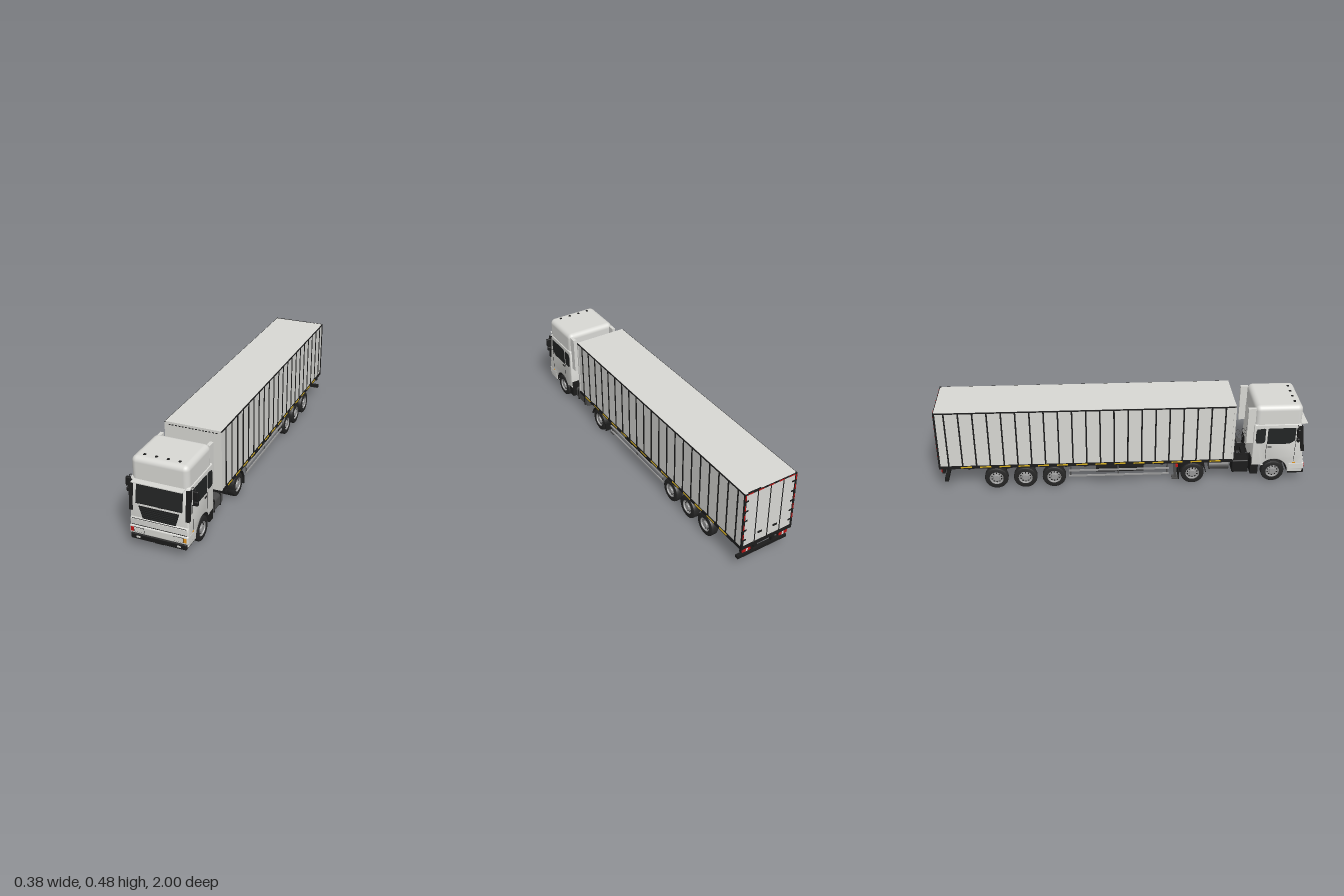
import * as THREE from 'three';
import { RoundedBoxGeometry } from 'three/addons/geometries/RoundedBoxGeometry.js';
import { toCreasedNormals } from 'three/addons/utils/BufferGeometryUtils.js';

const paint = (name, color) => Object.assign(new THREE.MeshStandardMaterial({ color }), { name });

export function createModel() {
  const truck = new THREE.Group();
  truck.name = 'semiTruck';
  const white = paint('offWhite', 0xd8d8d4), black = paint('blackPlastic', 0x1c1c1c);
  const glass = paint('darkGlass', 0x222424), tyreMat = paint('rubber', 0x262626);
  const steel = paint('darkSteel', 0x4c4c4c), rimMat = paint('rimGrey', 0x9a9a9a);
  const red = paint('red', 0xc01414), orange = paint('orange', 0xe8961c), yellow = paint('yellow', 0xd8b020);

  const group = (name, parent = truck) => {
    const g = new THREE.Group();
    g.name = name;
    parent.add(g);
    return g;
  };
  const cab = group('cab'), chassis = group('tractorChassis'), trailer = group('trailer');
  const add = (parent, name, geo, mat, x = 0, y = 0, z = 0) => {
    const m = new THREE.Mesh(geo, mat);
    m.name = name;
    m.position.set(x, y, z);
    parent.add(m);
    return m;
  };
  // box given by its x, y and z ranges
  const box = (parent, name, mat, x0, x1, y0, y1, z0, z1, r = 0) => {
    const s = [x1 - x0, y1 - y0, z1 - z0];
    const geo = r ? new RoundedBoxGeometry(...s, 3, r) : new THREE.BoxGeometry(...s);
    return add(parent, name, geo, mat, (x0 + x1) / 2, (y0 + y1) / 2, (z0 + z1) / 2);
  };
  // the same box on both sides
  const boxes = (parent, name, mat, x0, x1, ...rest) => {
    box(parent, name + 'Left', mat, x0, x1, ...rest);
    box(parent, name + 'Right', mat, -x1, -x0, ...rest);
  };
  const poly = pts => new THREE.Shape(pts.map(p => new THREE.Vector2(...p)));
  // outline in (z, y), extruded across x
  const side = (parent, name, mat, shape, x, width, bevel = 0) => {
    let geo = new THREE.ExtrudeGeometry(shape, {
      depth: width - 2 * bevel, bevelEnabled: bevel > 0, bevelSize: bevel, bevelThickness: bevel,
      bevelOffset: -bevel, bevelSegments: 3, curveSegments: 20,
    });
    geo.translate(0, 0, bevel - width / 2).rotateY(-Math.PI / 2);
    return add(parent, name, toCreasedNormals(geo, 0.6), mat, x);
  };
  const sides = (parent, name, mat, shape, x, width) => {
    side(parent, name + 'Left', mat, shape, x, width);
    side(parent, name + 'Right', mat, shape, -x, width);
  };
  const arch = (z, r, t, a0, a1) => {
    const s = new THREE.Shape();
    s.absarc(z, 0.064, r, a0, a1, false);
    s.absarc(z, 0.064, r - t, a1, a0, true);
    return s;
  };

  // Cab shell with wheel arch, raised roof
  const shell = poly([[0.988, 0.06], [0.988, 0.15], [0.981, 0.16], [0.981, 0.235], [0.961, 0.355],
    [0.955, 0.362], [0.708, 0.362], [0.704, 0.355], [0.704, 0.11], [0.76, 0.11]]);
  shell.absarc(0.825, 0.064, 0.08, 2.53, 0, true);
  shell.lineTo(0.905, 0.06);
  side(cab, 'cabShell', white, shell, 0, 0.304, 0.006);
  box(cab, 'cabRoof', white, -0.147, 0.147, 0.27, 0.47, 0.706, 0.963, 0.028);
  side(cab, 'wheelArchLiner', black, arch(0.825, 0.081, 0.003, 0, 2.5), 0, 0.296);
  box(cab, 'engineBlock', black, -0.07, 0.07, 0.07, 0.15, 0.72, 0.93);
  boxes(cab, 'rearMudguard', black, 0.08, 0.147, 0.05, 0.15, 0.7, 0.742);
  boxes(cab, 'rearFairing', white, 0.122, 0.14, 0.245, 0.455, 0.668, 0.71);

  // Bumpers, lights and front panels
  box(cab, 'bumper', white, -0.153, 0.153, 0.075, 0.12, 0.905, 0.996, 0.008);
  box(cab, 'bumperSeam', black, -0.145, 0.145, 0.119, 0.122, 0.95, 0.99);
  box(cab, 'hoodSeam', black, -0.142, 0.142, 0.152, 0.154, 0.95, 0.987);
  box(cab, 'lowerBumper', black, -0.145, 0.145, 0.047, 0.077, 0.91, 1, 0.006);
  box(cab, 'lowerLip', black, -0.022, 0.022, 0.04, 0.05, 0.93, 0.99);
  boxes(cab, 'headlightFrame', black, 0.075, 0.129, 0.086, 0.112, 0.99, 0.9968);
  boxes(cab, 'headlight', white, 0.077, 0.127, 0.088, 0.11, 0.99, 0.9985);
  boxes(cab, 'fogLight', white, 0.096, 0.116, 0.057, 0.067, 0.995, 1.0005);
  box(cab, 'indicatorLeft', orange, 0.13, 0.145, 0.088, 0.11, 0.99, 0.9985);
  box(cab, 'indicatorRight', red, -0.145, -0.13, 0.088, 0.11, 0.99, 0.9985);
  const grille = new THREE.ExtrudeGeometry(poly([[-0.085, 0.16], [0.085, 0.16], [0.105, 0.225], [-0.105, 0.225]]),
    { depth: 0.005, bevelEnabled: false });
  add(cab, 'grille', grille, black, 0, 0, 0.98);
  for (let i = 0; i < 6; i++) {
    const y = 0.167 + i * 0.01, w = 0.083 + (y - 0.16) * 0.3;
    box(cab, 'grilleSlat', glass, -w, w, y, y + 0.004, 0.984, 0.988);
  }
  const tilt = -Math.atan(1 / 6);
  add(cab, 'windshield', new THREE.BoxGeometry(0.24, 0.109, 0.006), glass, 0, 0.292, 0.9725).rotation.x = tilt;
  for (const x of [-0.07, 0.05]) {
    add(cab, 'wiper', new THREE.BoxGeometry(0.1, 0.003, 0.004), black, x, 0.242, 0.984).rotation.z = 0.05;
  }
  box(cab, 'sunVisor', white, -0.132, 0.132, 0.353, 0.357, 0.95, 0.998);
  box(cab, 'visorShadowGap', black, -0.12, 0.12, 0.348, 0.352, 0.95, 0.97);
  for (const x of [-0.09, -0.03, 0.03, 0.09]) box(cab, 'roofLight', black, x - 0.006, x + 0.006, 0.466, 0.473, 0.917, 0.929);

  // Windows, doors, pillar deflectors and mirrors
  sides(cab, 'doorWindow', glass, poly([[0.78, 0.243], [0.9, 0.243], [0.932, 0.262], [0.932, 0.34], [0.785, 0.34], [0.78, 0.335]]), 0.152, 0.004);
  sides(cab, 'sleeperWindow', glass, poly([[0.722, 0.25], [0.76, 0.25], [0.768, 0.26], [0.768, 0.335], [0.76, 0.34], [0.722, 0.335], [0.716, 0.32], [0.716, 0.265]]), 0.152, 0.004);
  sides(cab, 'pillarDeflector', black, poly([[0.968, 0.195], [0.986, 0.195], [0.968, 0.35], [0.945, 0.35]]), 0.147, 0.02);
  boxes(cab, 'doorSeamRear', black, 0.151, 0.1528, 0.15, 0.243, 0.776, 0.778);
  boxes(cab, 'doorSeamFront', black, 0.151, 0.1528, 0.13, 0.26, 0.935, 0.937);
  boxes(cab, 'doorHandle', black, 0.151, 0.156, 0.222, 0.228, 0.785, 0.805);
  boxes(cab, 'sideMarker', orange, 0.151, 0.1535, 0.118, 0.124, 0.93, 0.945);
  boxes(cab, 'mainMirror', black, 0.158, 0.188, 0.296, 0.345, 0.934, 0.95, 0.005);
  boxes(cab, 'wideMirror', black, 0.163, 0.185, 0.267, 0.29, 0.934, 0.95, 0.005);
  for (const s of [1, -1]) {
    const pts = [[0.15, 0.355], [0.162, 0.36], [0.173, 0.345], [0.173, 0.268], [0.15, 0.262]];
    const path = new THREE.CatmullRomCurve3(pts.map(([x, y]) => new THREE.Vector3(s * x, y, 0.94)), false, 'catmullrom', 0.1);
    add(cab, 'mirrorArm', new THREE.TubeGeometry(path, 24, 0.002, 6), black);
  }

  // Tractor frame, tanks and air line
  boxes(chassis, 'frameRail', black, 0.045, 0.06, 0.085, 0.125, 0.26, 0.93);
  for (const z of [0.28, 0.5, 0.68]) box(chassis, 'crossMember', black, -0.05, 0.05, 0.09, 0.115, z - 0.01, z + 0.01);
  box(chassis, 'couplingPlate', steel, -0.06, 0.06, 0.124, 0.136, 0.32, 0.44, 0.004);
  box(chassis, 'fuelTank', steel, 0.064, 0.135, 0.052, 0.122, 0.545, 0.69, 0.016);
  for (const z of [0.58, 0.655]) box(chassis, 'tankStrap', black, 0.063, 0.137, 0.051, 0.124, z - 0.004, z + 0.004, 0.003);
  box(chassis, 'batteryBox', black, -0.135, -0.065, 0.055, 0.13, 0.6, 0.69, 0.006);
  const tank = add(chassis, 'airTank', new THREE.CylinderGeometry(0.025, 0.025, 0.11, 16), steel, -0.095, 0.085, 0.53);
  tank.rotation.x = Math.PI / 2;
  sides(chassis, 'driveFender', black, arch(0.38, 0.075, 0.004, 0.1, Math.PI - 0.1), 0.11, 0.08);
  boxes(chassis, 'mudFlap', black, 0.072, 0.15, 0.03, 0.08, 0.302, 0.306);
  boxes(chassis, 'tailLamp', red, 0.09, 0.12, 0.09, 0.102, 0.29, 0.302);
  const coil = Array.from({ length: 33 }, (_, i) => new THREE.Vector3(
    0.01 * Math.sin(i * Math.PI / 4), 0.245 + 0.01 * Math.cos(i * Math.PI / 4) - 0.02 * Math.sin(i / 32 * Math.PI), 0.71 - i * 0.0035));
  for (const x of [-0.025, 0.025]) {
    add(chassis, 'coiledAirLine', new THREE.TubeGeometry(new THREE.CatmullRomCurve3(coil), 96, 0.0016, 5), steel, x);
  }

  // Wheels: lathe tyre and rim, dark vent holes, hub
  const lathe = pts => toCreasedNormals(new THREE.LatheGeometry(pts.map(p => new THREE.Vector2(...p)), 32).rotateZ(-Math.PI / 2), 0.6);
  const tyreGeo = lathe([[0.038, -0.02], [0.056, -0.021], [0.062, -0.018], [0.064, -0.013], [0.064, 0.013], [0.062, 0.018], [0.056, 0.021], [0.038, 0.02], [0.038, -0.02]]);
  const rimGeo = lathe([[0, -0.015], [0.039, -0.015], [0.039, 0.019], [0.036, 0.019], [0.032, 0.01], [0.018, 0.014], [0.016, 0.021], [0, 0.021]]);
  const holeGeo = new THREE.CylinderGeometry(0.0038, 0.0038, 0.004, 8).rotateZ(Math.PI / 2);
  const wheel = (x, z) => {
    const w = group('wheel');
    add(w, 'tyre', tyreGeo, tyreMat);
    add(w, 'rim', rimGeo, rimMat);
    for (let i = 0; i < 10; i++) {
      const a = i * Math.PI / 5;
      add(w, 'ventHole', holeGeo, black, 0.0115, 0.027 * Math.cos(a), 0.027 * Math.sin(a));
    }
    w.position.set(x, 0.064, z);
    if (x < 0) w.rotation.y = Math.PI;
  };
  for (const z of [0.825, 0.38, -0.38, -0.537, -0.695]) {
    for (const s of [1, -1]) {
      wheel(s * 0.127, z);
      if (z === 0.38) wheel(s * 0.093, z);
    }
    add(truck, 'axle', new THREE.CylinderGeometry(0.012, 0.012, 0.23, 12).rotateZ(Math.PI / 2), black, 0, 0.064, z);
    if (z < 0) boxes(trailer, 'suspensionArm', black, 0.05, 0.07, 0.05, 0.11, z - 0.015, z + 0.05);
  }

  // Trailer body with ribbed sides
  box(trailer, 'cargoBox', white, -0.15, 0.15, 0.148, 0.48, -0.996, 0.6);
  box(trailer, 'floor', black, -0.15, 0.15, 0.134, 0.148, -0.996, 0.598);
  boxes(trailer, 'topRail', black, 0.147, 0.153, 0.472, 0.479, -0.998, 0.6);
  boxes(trailer, 'bottomRail', black, 0.145, 0.153, 0.134, 0.152, -0.998, 0.598);
  for (let i = 0; i < 21; i++) {
    const z = 0.545 - i * 0.0745;
    boxes(trailer, 'sideRib', black, 0.148, 0.153, 0.15, 0.475, z - 0.004, z + 0.004);
  }
  boxes(trailer, 'frontPost', white, 0.148, 0.153, 0.15, 0.475, 0.588, 0.601);
  for (let i = 0; i < 14; i++) {
    const z = 0.5 - i * 0.104;
    boxes(trailer, 'reflectiveStrip', yellow, 0.15, 0.1545, 0.14, 0.148, z - 0.03, z + 0.03);
  }
  for (let i = 0; i < 15; i++) box(trailer, 'frontVent', black, -0.131 + i * 0.018, -0.121 + i * 0.018, 0.464, 0.468, 0.597, 0.602);

  // Rear doors with hinges and markings
  boxes(trailer, 'rearPost', black, 0.143, 0.153, 0.135, 0.48, -1, -0.99);
  for (const [y0, y1] of [[0.472, 0.48], [0.135, 0.156]]) box(trailer, 'rearFrame', black, -0.15, 0.15, y0, y1, -0.999, -0.99);
  for (const x of [-0.075, 0, 0.075]) box(trailer, 'doorLine', black, x - 0.002, x + 0.002, 0.15, 0.475, -0.9985, -0.99);
  for (let i = 0; i < 5; i++) {
    const y = 0.19 + i * 0.06;
    boxes(trailer, 'rearHinge', black, 0.128, 0.146, y, y + 0.008, -0.999, -0.99);
    boxes(trailer, 'rearMarking', red, 0.145, 0.151, y + 0.012, y + 0.044, -1.001, -0.995);
    box(trailer, 'topMarking', red, -0.135 + i * 0.06, -0.105 + i * 0.06, 0.473, 0.478, -1.001, -0.995);
  }
  for (const x of [-0.045, 0.045]) box(trailer, 'doorLatch', black, x - 0.012, x + 0.012, 0.2, 0.21, -0.9995, -0.99);

  // Trailer frame, rear guard and lamps
  boxes(trailer, 'mainBeam', black, 0.045, 0.065, 0.1, 0.136, -0.985, 0.5);
  for (let i = 0; i < 14; i++) box(trailer, 'frameCrossbar', black, -0.14, 0.14, 0.12, 0.136, -0.95 + i * 0.105, -0.938 + i * 0.105);
  boxes(trailer, 'guardPost', black, 0.055, 0.07, 0.06, 0.12, -0.972, -0.958);
  box(trailer, 'rearGuard', black, -0.15, 0.15, 0.055, 0.073, -0.975, -0.955);
  boxes(trailer, 'lampHolder', black, 0.085, 0.14, 0.1, 0.125, -0.985, -0.97);
  boxes(trailer, 'rearLamp', red, 0.088, 0.137, 0.104, 0.121, -0.99, -0.984);
  boxes(trailer, 'lampCentre', white, 0.105, 0.116, 0.104, 0.121, -0.991, -0.985);

  // Landing legs, side guards and storage rack
  boxes(trailer, 'landingLeg', steel, 0.09, 0.106, 0.015, 0.136, 0.282, 0.296);
  boxes(trailer, 'landingFoot', steel, 0.08, 0.116, 0.008, 0.015, 0.27, 0.308);
  for (const y of [0.06, 0.094]) boxes(trailer, 'sideGuardRail', rimMat, 0.138, 0.144, y, y + 0.009, -0.3, 0.25);
  for (const z of [-0.29, -0.03, 0.24]) boxes(trailer, 'sideGuardPost', steel, 0.133, 0.139, 0.06, 0.136, z - 0.004, z + 0.004);
  boxes(trailer, 'storageRack', black, 0.075, 0.132, 0.08, 0.112, -0.15, 0.11);
  return truck;
}
